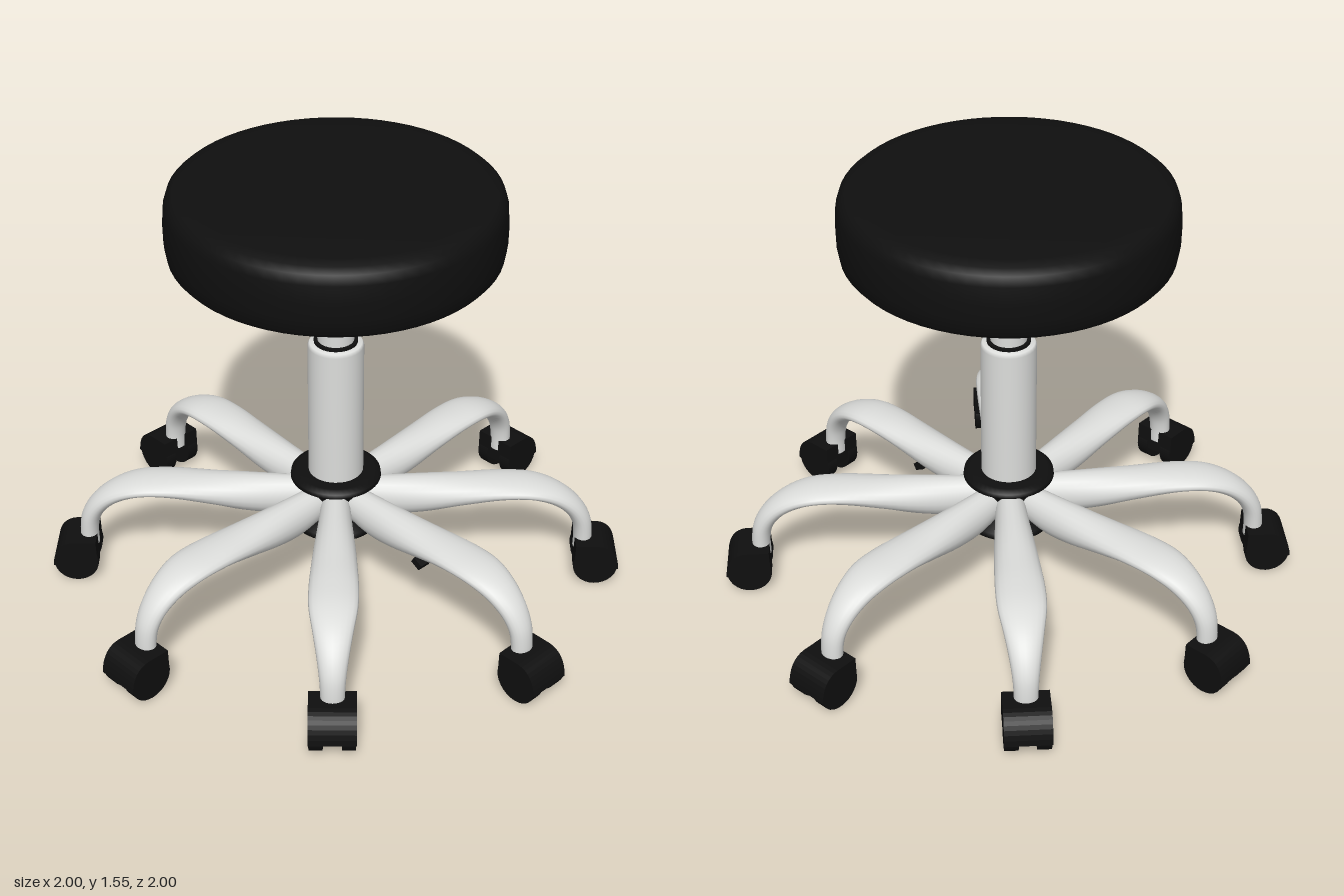
import * as THREE from 'three';

const black = new THREE.MeshStandardMaterial({ color: 0x0f0f0f });
black.name = 'black';
const white = new THREE.MeshStandardMaterial({ color: 0xdcdddb });
white.name = 'white';

function add(parent, name, geometry, material, x = 0, y = 0, z = 0) {
  const mesh = new THREE.Mesh(geometry, material);
  mesh.name = name;
  mesh.position.set(x, y, z);
  parent.add(mesh);
  return mesh;
}

const lathe = (points, segments = 48) =>
  new THREE.LatheGeometry(points.map(([r, y]) => new THREE.Vector2(r, y)), segments);

// Leg sections: top radius, top height, bottom radius, bottom height, half width
const legSections = [
  [0.08, 0.405, 0.08, 0.29, 0.05],
  [0.20, 0.408, 0.20, 0.265, 0.06],
  [0.32, 0.41, 0.32, 0.278, 0.07],
  [0.45, 0.41, 0.45, 0.312, 0.077],
  [0.58, 0.41, 0.58, 0.342, 0.082],
  [0.70, 0.40, 0.67, 0.346, 0.08],
  [0.79, 0.368, 0.745, 0.32, 0.066],
  [0.855, 0.315, 0.80, 0.278, 0.053],
  [0.893, 0.25, 0.83, 0.23, 0.044],
  [0.905, 0.18, 0.84, 0.18, 0.04],
  [0.905, 0.12, 0.84, 0.12, 0.04],
];

// Oval tube swept between the top and bottom curves of the leg
function legGeometry() {
  const top = new THREE.CatmullRomCurve3(legSections.map(s => new THREE.Vector3(s[0], s[1], s[4])));
  const bottom = new THREE.CatmullRomCurve3(legSections.map(s => new THREE.Vector3(s[2], s[3], s[4])));
  const steps = 40, sides = 20, positions = [], index = [];
  for (let i = 0; i <= steps; i++) {
    const a = top.getPoint(i / steps), b = bottom.getPoint(i / steps);
    for (let j = 0; j < sides; j++) {
      const angle = j / sides * Math.PI * 2, k = (1 - Math.cos(angle)) / 2;
      positions.push(a.x + (b.x - a.x) * k, a.y + (b.y - a.y) * k, a.z * Math.sin(angle));
      if (i === steps) continue;
      const p = i * sides + j, q = i * sides + (j + 1) % sides;
      index.push(p, q, p + sides, q, q + sides, p + sides);
    }
  }
  const geometry = new THREE.BufferGeometry();
  geometry.setAttribute('position', new THREE.Float32BufferAttribute(positions, 3));
  geometry.setIndex(index);
  geometry.computeVertexNormals();
  return geometry;
}

// Caster hood: square at the stem side, rounded over the outer side
function hoodGeometry() {
  const shape = new THREE.Shape();
  shape.moveTo(-0.075, 0.075);
  shape.lineTo(-0.072, 0.165);
  shape.lineTo(0.01, 0.165);
  shape.quadraticCurveTo(0.075, 0.16, 0.082, 0.07);
  shape.lineTo(0.05, 0.06);
  shape.closePath();
  const geometry = new THREE.ExtrudeGeometry(shape, { depth: 0.156, bevelEnabled: false, curveSegments: 8 });
  return geometry.translate(0, 0, -0.078);
}

// Rod between two points
function rod(parent, name, from, to, radius, material) {
  const a = new THREE.Vector3(...from), b = new THREE.Vector3(...to);
  return add(parent, name, new THREE.TubeGeometry(new THREE.LineCurve3(a, b), 1, radius, 10), material);
}

export function createModel() {
  const stool = new THREE.Group();
  stool.name = 'rollingStool';

  // Padded round seat
  add(stool, 'seat', lathe([
    [0, 1.285], [0.5, 1.285], [0.53, 1.292], [0.547, 1.312], [0.555, 1.36], [0.556, 1.42],
    [0.552, 1.48], [0.542, 1.512], [0.522, 1.53], [0.48, 1.537], [0.35, 1.548], [0.18, 1.557], [0, 1.56],
  ], 64), black);

  // Gas lift column
  add(stool, 'piston', new THREE.CylinderGeometry(0.062, 0.062, 0.36, 32), white, 0, 1.12, 0);
  add(stool, 'pistonCollar', new THREE.CylinderGeometry(0.074, 0.074, 0.016, 32), black, 0, 0.96, 0);
  add(stool, 'columnSleeve', lathe([
    [0.095, 0.4], [0.095, 0.945], [0.089, 0.957], [0.062, 0.96],
  ], 32), white);

  // Hub joining the legs
  add(stool, 'hub', lathe([
    [0, 0.23], [0.135, 0.23], [0.155, 0.24], [0.155, 0.262], [0.12, 0.29], [0.11, 0.35],
    [0.125, 0.4], [0.157, 0.42], [0.155, 0.435], [0.135, 0.446], [0.09, 0.446],
  ]), black);

  // Eight legs with twin wheel casters
  const leg = legGeometry(), hood = hoodGeometry();
  const wheel = new THREE.CylinderGeometry(0.078, 0.078, 0.045, 28).rotateX(Math.PI / 2);
  for (let i = 0; i < 8; i++) {
    const arm = new THREE.Group();
    arm.name = 'legWithCaster';
    arm.rotation.y = i * Math.PI / 4;
    add(arm, 'leg', leg, white);
    const caster = new THREE.Group();
    caster.name = 'caster';
    caster.position.x = 0.917;
    arm.add(caster);
    add(caster, 'casterHood', hood, black);
    for (const side of [-1, 1]) add(caster, 'casterWheel', wheel, black, 0, 0.083, side * 0.053);
    add(caster, 'casterAxle', new THREE.CylinderGeometry(0.02, 0.02, 0.08, 12).rotateX(Math.PI / 2), black, 0, 0.083, 0);
    stool.add(arm);
  }

  // Height lever with a flat paddle
  rod(stool, 'leverRod', [-0.05, 1.29, -0.08], [-0.18, 1.2, -0.18], 0.012, black);
  const paddle = new THREE.Group();
  paddle.name = 'leverPaddle';
  paddle.position.set(-0.24, 1.175, -0.245);
  paddle.rotation.y = Math.PI * 0.75;
  stool.add(paddle);
  const blade = add(paddle, 'paddleBlade', new THREE.SphereGeometry(1, 20, 12), black);
  blade.scale.set(0.125, 0.022, 0.038);
  blade.rotation.z = -0.19;

  // Tilt knob under the front of the seat
  const knob = add(stool, 'tiltKnob', new THREE.SphereGeometry(0.045, 20, 12), black, 0, 1.26, 0.36);
  knob.scale.set(1.05, 0.85, 0.9);
  rod(stool, 'knobTip', [0, 1.25, 0.36], [0, 1.225, 0.4], 0.016, black);

  // Small catch under the front leg
  const clip = add(stool, 'legCatch', new THREE.BoxGeometry(0.05, 0.025, 0.04), black, 0, 0.265, 0.415);
  clip.rotation.x = 0.5;
  rod(stool, 'catchStem', [0, 0.33, 0.4], [0, 0.265, 0.415], 0.01, black);

  return stool;
}
